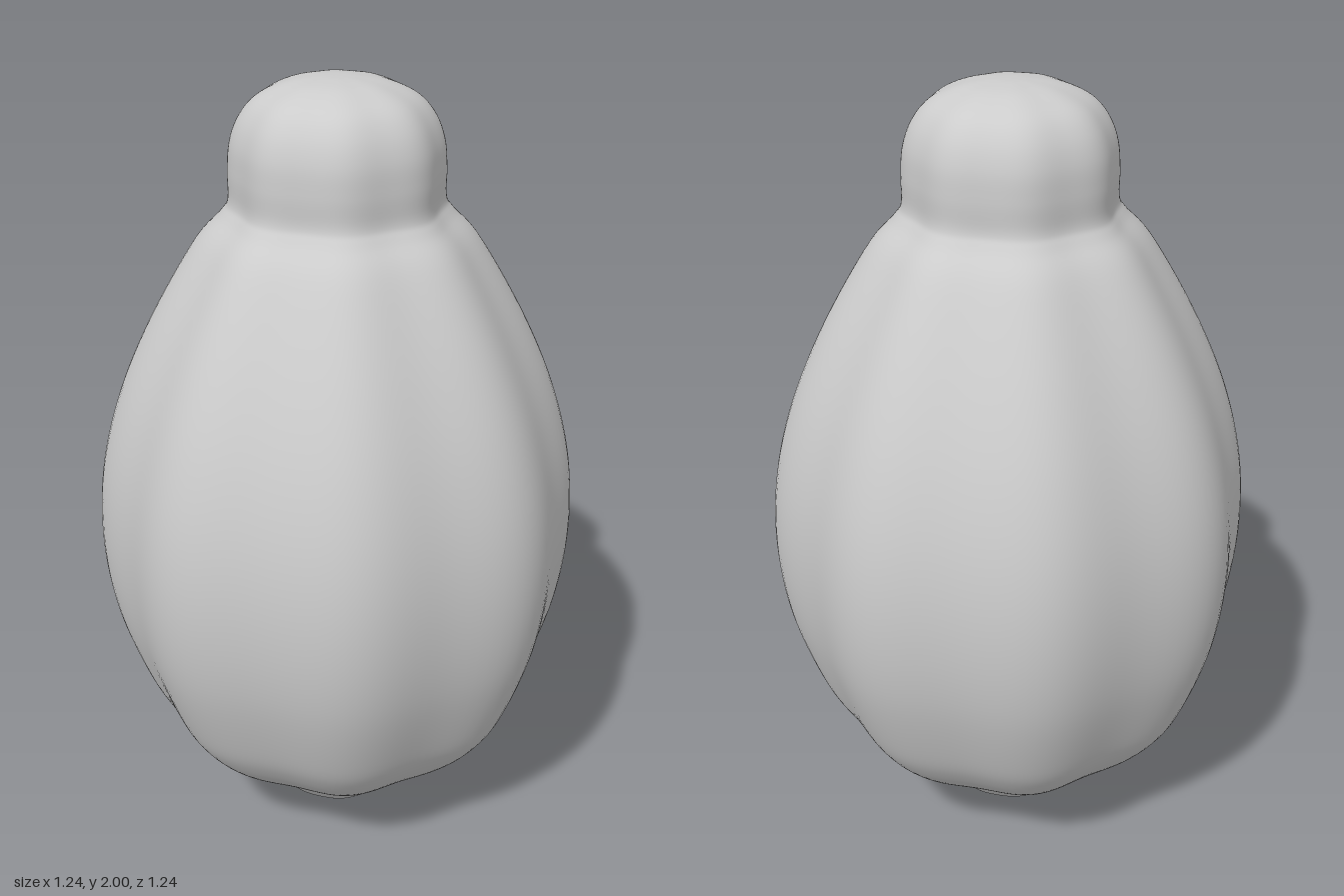
import * as THREE from 'three';
import { mergeVertices } from 'three/addons/utils/BufferGeometryUtils.js';

const LOBES = 8;

// Revolve a smooth profile of [radius, height], then press shallow grooves between the lobes
function lobedShell(profile, grooveDepth) {
  const curve = new THREE.SplineCurve(profile.map(([r, y]) => new THREE.Vector2(r, y)));
  const points = curve.getPoints(140).map(p => new THREE.Vector2(Math.max(0, p.x), THREE.MathUtils.clamp(p.y, 0, 2)));
  let geometry = new THREE.LatheGeometry(points, 128);
  geometry.deleteAttribute('uv');
  geometry.deleteAttribute('normal');
  const pos = geometry.attributes.position;
  for (let i = 0; i < pos.count; i++) {
    const x = pos.getX(i), y = pos.getY(i), z = pos.getZ(i);
    const angle = Math.atan2(x, z);
    const scale = 1 - grooveDepth(y) * (1 - Math.cos(LOBES * angle)) / 2;
    pos.setXYZ(i, x * scale, y, z * scale);
  }
  geometry = mergeVertices(geometry, 1e-5);
  geometry.computeVertexNormals();
  return geometry;
}

export function createModel() {
  const model = new THREE.Group();
  model.name = 'lobedPod';

  // Foot with a dimple, swelling pod, pinched neck and rounded cap
  const profile = [
    [0, 0.03], [0.05, 0.012], [0.1, 0.002], [0.145, 0.008], [0.185, 0.05],
    [0.23, 0.105], [0.3, 0.155], [0.385, 0.21], [0.465, 0.295], [0.525, 0.4],
    [0.592, 0.6], [0.618, 0.8], [0.606, 1.0], [0.555, 1.2], [0.468, 1.4],
    [0.352, 1.6], [0.285, 1.675], [0.264, 1.71], [0.263, 1.78], [0.256, 1.85],
    [0.232, 1.91], [0.19, 1.955], [0.12, 1.986], [0.05, 1.998], [0, 2]
  ];
  // Grooves are strongest on the pod and softer on the foot and cap
  const depth = y => y < 1.65
    ? 0.02 + 0.034 * THREE.MathUtils.smoothstep(y, 0, 0.25)
    : 0.054 - 0.014 * THREE.MathUtils.smoothstep(y, 1.65, 1.75);

  const material = new THREE.MeshStandardMaterial({ color: 0xcccccc });
  const pod = new THREE.Mesh(lobedShell(profile, depth), material);
  pod.name = 'podWithCap';
  model.add(pod);
  return model;
}
